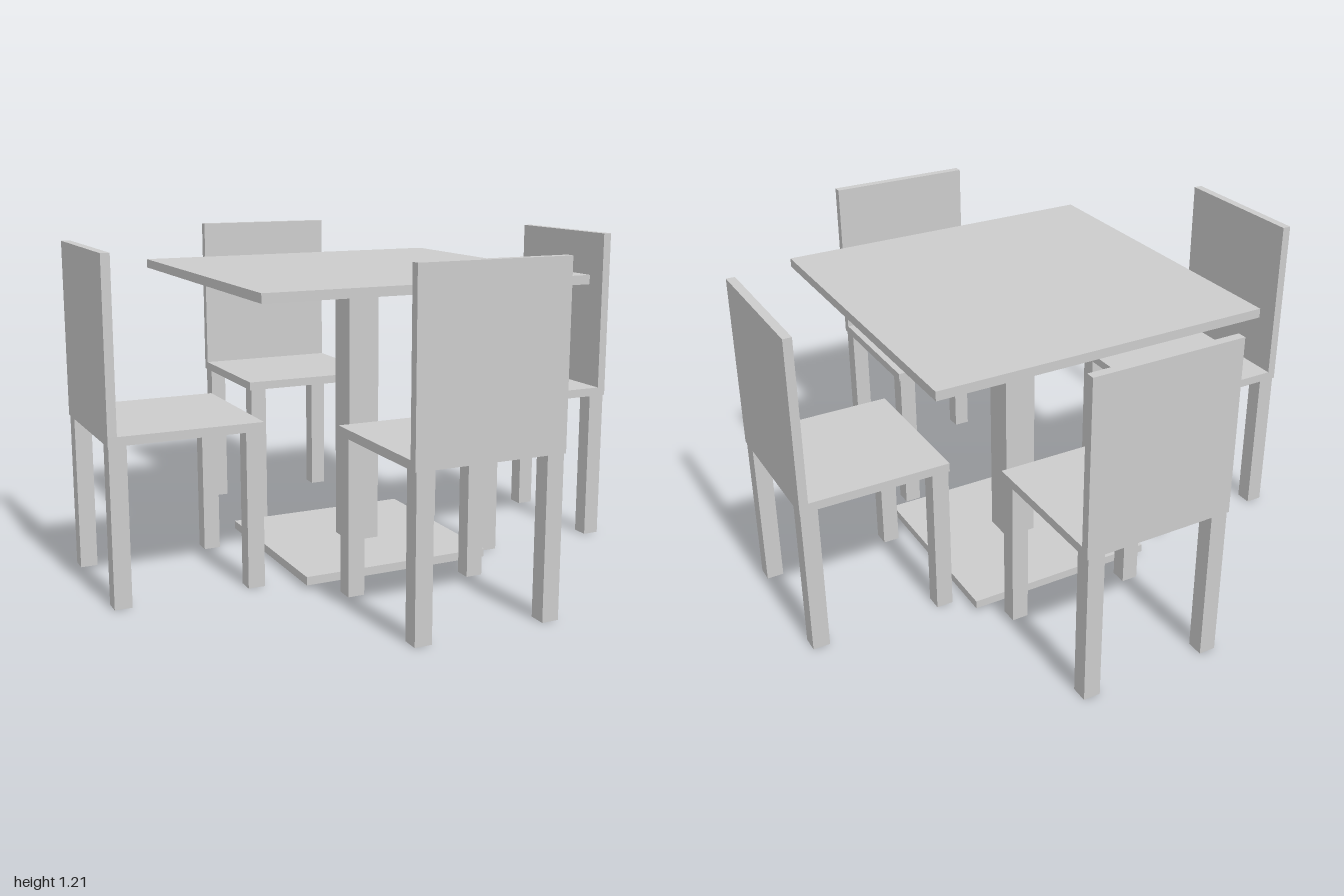
import * as THREE from 'three';

const material = new THREE.MeshStandardMaterial({ color: 0xcccccc, flatShading: true });

// Box given by its size and the position of its bottom centre
function box(name, [w, h, d], [x, y, z]) {
  const mesh = new THREE.Mesh(new THREE.BoxGeometry(w, h, d), material);
  mesh.name = name;
  mesh.position.set(x, y + h / 2, z);
  return mesh;
}

// Chair facing its local -z, with the backrest at +z
function createChair(name, x, z, turn) {
  const S = 0.552; // seat side
  const chair = new THREE.Group();
  chair.name = name;
  chair.add(box('seat', [S, 0.032, S], [0, 0.57, 0]));
  chair.add(box('backrest', [S, 0.605, 0.032], [0, 0.602, S / 2 - 0.016]));
  for (const sx of [-1, 1]) {
    for (const sz of [-1, 1]) {
      chair.add(box(sz > 0 ? 'backLeg' : 'frontLeg', [0.062, 0.57, 0.062], [sx * 0.239, 0, sz * 0.242]));
    }
  }
  chair.position.set(x, 0, z);
  chair.rotation.y = turn;
  return chair;
}

export function createModel() {
  const model = new THREE.Group();
  model.name = 'diningSet';

  // Pedestal table
  const table = new THREE.Group();
  table.name = 'table';
  table.add(box('tabletop', [1.24, 0.033, 1.24], [0.034, 1.062, -0.016]));
  table.add(box('pedestal', [0.122, 1.016, 0.122], [0.04, 0.046, -0.008]));
  table.add(box('base', [0.73, 0.031, 0.73], [0.035, 0.015, -0.013]));
  model.add(table);

  // Four chairs, backrests outward
  model.add(createChair('frontChair', 0.039, 0.696, 0));
  model.add(createChair('backChair', 0.039, -0.699, Math.PI));
  model.add(createChair('leftChair', 0.724, -0.014, Math.PI / 2));
  model.add(createChair('rightChair', -0.724, -0.014, -Math.PI / 2));
  return model;
}
